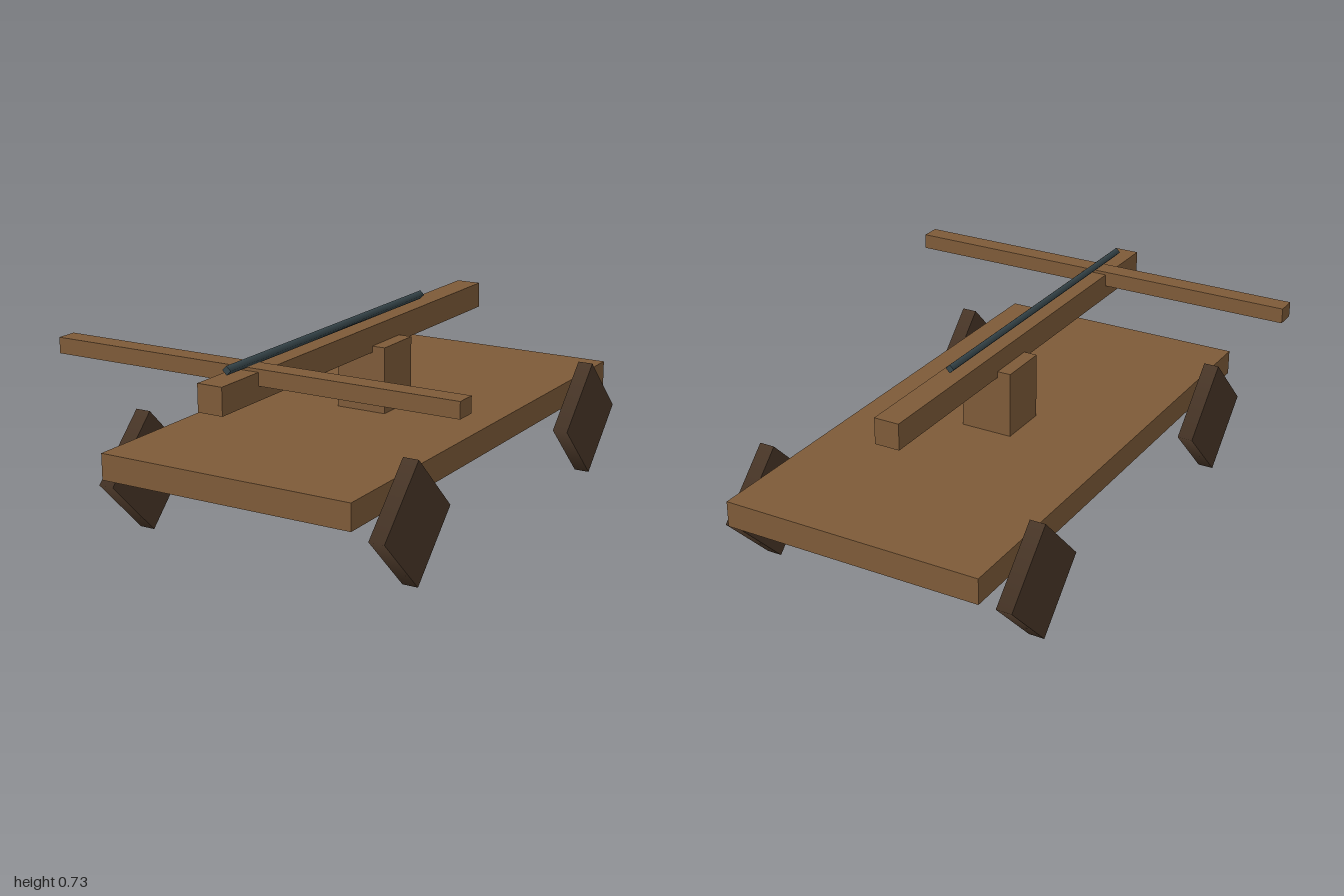
import * as THREE from 'three';

export function createModel() {
  const model = new THREE.Group();
  model.name = 'siegeCart';

  const material = (name, color) => {
    const m = new THREE.MeshStandardMaterial({ color });
    m.name = name;
    return m;
  };
  const wood = material('wood', 0x7d5a38);
  const darkWood = material('darkWood', 0x4a3728);
  const iron = material('iron', 0x36454a);

  const add = (name, geometry, mat, x, y, z) => {
    const mesh = new THREE.Mesh(geometry, mat);
    mesh.name = name;
    mesh.position.set(x, y, z);
    model.add(mesh);
    return mesh;
  };

  // Timber boxes, centred on x, given by width and their y and z ranges
  const timber = (name, width, y0, y1, z0, z1) =>
    add(name, new THREE.BoxGeometry(width, y1 - y0, z1 - z0), wood, 0, (y0 + y1) / 2, (z0 + z1) / 2);

  timber('deck', 0.974, 0.272, 0.367, -1, 0.952);
  timber('post', 0.196, 0.367, 0.611, -0.118, 0.075);
  timber('stock', 0.094, 0.588, 0.684, -0.757, 1);
  timber('bowArm', 1.556, 0.638, 0.695, 0.721, 0.796);

  // Four-sided bolt lying along the stock
  const bolt = new THREE.CylinderGeometry(0.016, 0.016, 1.268, 4).rotateX(Math.PI / 2);
  add('bolt', bolt, iron, 0, 0.709, 0.272);

  // Four-sided wheels standing on a corner
  const wheel = new THREE.CylinderGeometry(0.218, 0.218, 0.058, 4).rotateZ(Math.PI / 2);
  for (const [end, z] of [['front', 0.66], ['back', -0.706]]) {
    for (const [side, x] of [['Left', 0.534], ['Right', -0.534]]) {
      add(end + side + 'Wheel', wheel, darkWood, x, 0.218, z);
    }
  }

  return model;
}
